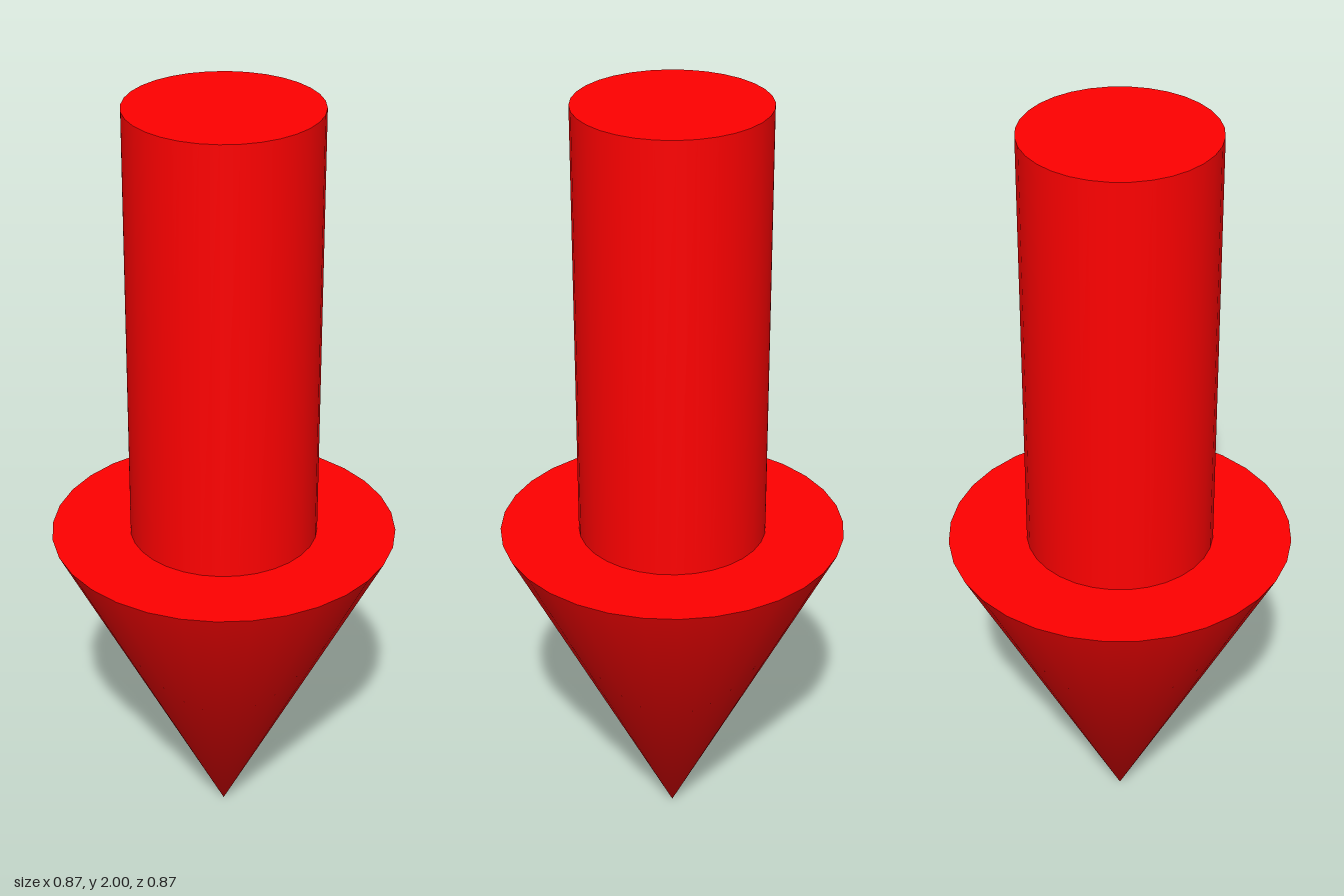
import * as THREE from 'three';
import { mergeVertices } from 'three/addons/utils/BufferGeometryUtils.js';

const SIDES = 32;
const HEAD_HEIGHT = 0.875;
const HEAD_RADIUS = 0.437;
const SHAFT_RADIUS = 0.238;
const TOTAL_HEIGHT = 2;

export function createModel() {
  const model = new THREE.Group();
  model.name = 'downArrow';
  const red = new THREE.MeshStandardMaterial({ color: 0xff0000 });

  const add = (name, geometry, y, parent = model) => {
    const mesh = new THREE.Mesh(geometry, red);
    mesh.name = name;
    mesh.position.y = y;
    parent.add(mesh);
    return mesh;
  };

  // Upright round shaft
  const shaftHeight = TOTAL_HEIGHT - HEAD_HEIGHT;
  add('shaft', new THREE.CylinderGeometry(SHAFT_RADIUS, SHAFT_RADIUS, shaftHeight, SIDES),
    HEAD_HEIGHT + shaftHeight / 2);

  // Arrowhead pointing down: smooth cone sharing a single tip vertex, closed by a flat disc
  const head = new THREE.Group();
  head.name = 'arrowhead';
  model.add(head);

  let cone = new THREE.ConeGeometry(HEAD_RADIUS, HEAD_HEIGHT, SIDES, 1, true).rotateX(Math.PI);
  cone.deleteAttribute('uv');
  cone.deleteAttribute('normal');
  cone = mergeVertices(cone);
  cone.computeVertexNormals();
  add('headCone', cone, HEAD_HEIGHT / 2, head);

  const disc = new THREE.CircleGeometry(HEAD_RADIUS, SIDES).rotateX(-Math.PI / 2);
  add('headTop', disc, HEAD_HEIGHT, head);

  return model;
}
